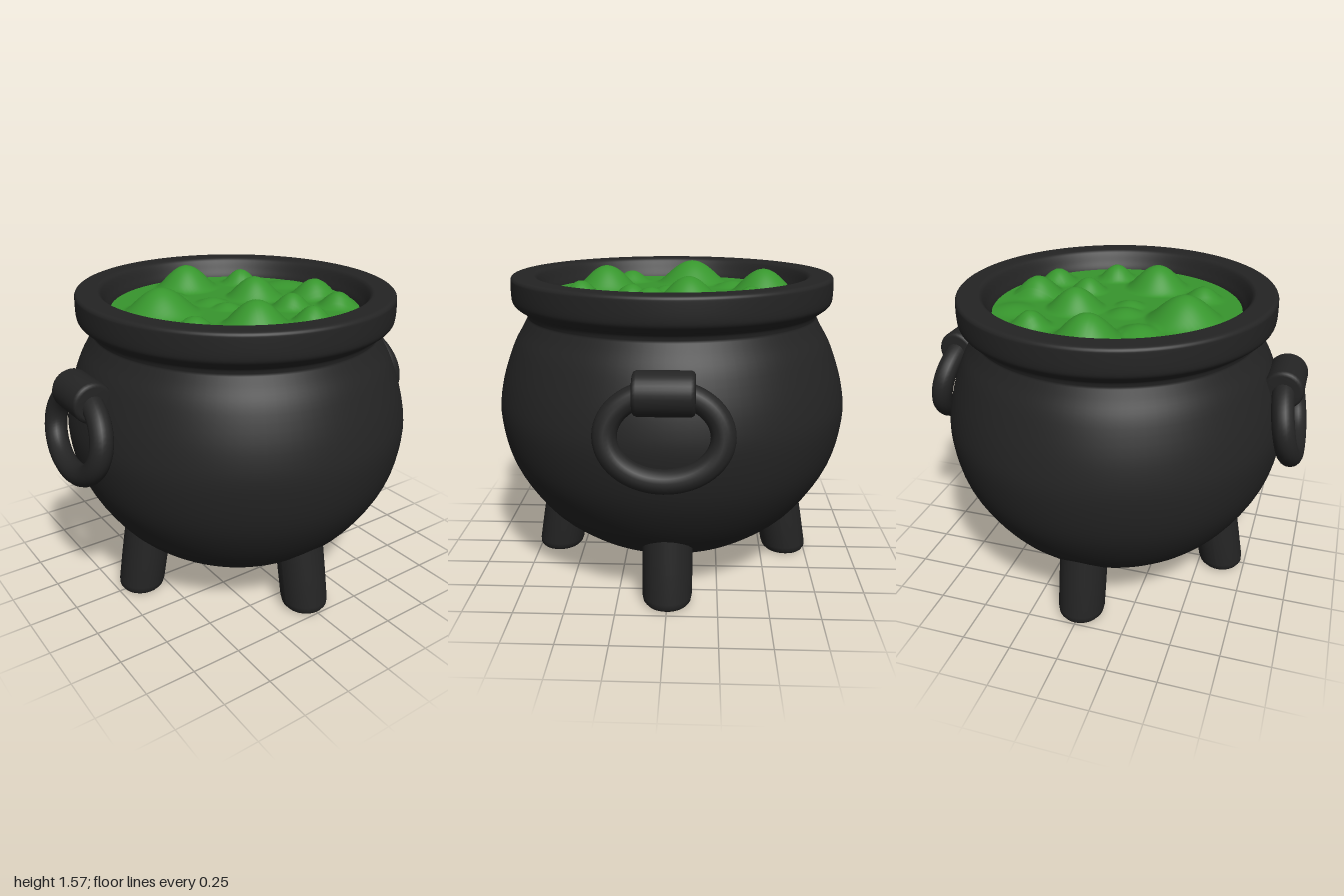
import * as THREE from 'three';

const iron = new THREE.MeshStandardMaterial({ color: 0x242424 });
iron.name = 'black iron';
const brew = new THREE.MeshStandardMaterial({ color: 0x37962d });
brew.name = 'green brew';

const SQUASH = 0.97; // the pot is slightly narrower across x than z
const v2 = ([x, y]) => new THREE.Vector2(x, y);

function part(name, geometry, material = iron) {
  const mesh = new THREE.Mesh(geometry, material);
  mesh.name = name;
  return mesh;
}

// Round belly, narrow neck, thick rim and the inner wall in one turned profile
function makePot() {
  const belly = new THREE.SplineCurve([
    [0.3, 0.157], [0.42, 0.175], [0.52, 0.215], [0.7, 0.365], [0.85, 0.6], [0.905, 0.84],
    [0.886, 1.02], [0.825, 1.2], [0.77, 1.3], [0.743, 1.35],
  ].map(v2)).getPoints(40);
  const rim = new THREE.SplineCurve([
    [0.743, 1.35], [0.752, 1.378], [0.785, 1.4], [0.812, 1.425], [0.82, 1.46], [0.82, 1.53],
    [0.817, 1.549], [0.805, 1.559], [0.78, 1.56], [0.715, 1.56], [0.695, 1.553], [0.682, 1.535],
    [0.665, 1.5], [0.645, 1.46], [0.63, 1.4],
  ].map(v2)).getPoints(56);
  const points = [[0, 0.155], [0.15, 0.155]].map(v2).concat(belly, rim.slice(1));
  const geometry = new THREE.LatheGeometry(points, 96);
  geometry.scale(SQUASH, 1, 1);
  return part('pot', geometry);
}

// Bubbles: x, z, radius, height
const BUBBLES = [
  [-0.37, -0.1, 0.165, 0.12], [0, -0.47, 0.145, 0.12], [-0.12, 0.35, 0.145, 0.12],
  [0.19, -0.09, 0.13, 0.105], [0.46, 0.08, 0.115, 0.09], [0.22, 0.19, 0.09, 0.07],
  [0.43, 0.3, 0.09, 0.07], [0.14, 0.45, 0.09, 0.075], [0.31, -0.39, 0.09, 0.075],
  [-0.39, 0.24, 0.09, 0.06], [-0.2, -0.32, 0.09, 0.03], [-0.07, -0.1, 0.08, 0.025],
  [-0.06, 0.02, 0.07, 0.025], [0.48, -0.2, 0.1, 0.02],
];

// Liquid surface: a disc raised into soft domes
function makeBrew() {
  const geometry = new THREE.RingGeometry(0.0005, 0.65, 128, 56);
  geometry.rotateX(-Math.PI / 2);
  geometry.scale(SQUASH, 1, 1);
  const p = geometry.attributes.position;
  for (let i = 0; i < p.count; i++) {
    let y = 0;
    for (const [x, z, r, h] of BUBBLES) {
      const t = Math.hypot(p.getX(i) - x, p.getZ(i) - z) / (r * 1.2);
      if (t < 1) y = Math.max(y, h * (1 - t * t) ** 1.5);
    }
    p.setY(i, 1.46 + y);
  }
  geometry.computeVertexNormals();
  return part('brew', geometry, brew);
}

// Foot with a rounded base, leaning in toward the belly
function makeLeg(angle) {
  const profile = [
    [0, 0.005], [0.085, 0.005], [0.105, 0.01], [0.118, 0.025], [0.123, 0.05],
    [0.125, 0.2], [0.125, 0.45],
  ].map(v2);
  const geometry = new THREE.LatheGeometry(profile, 32);
  const p = geometry.attributes.position;
  for (let i = 0; i < p.count; i++) p.setX(i, p.getX(i) + 0.64 - 0.18 * p.getY(i));
  geometry.computeVertexNormals();
  geometry.rotateY(angle);
  geometry.scale(SQUASH, 1, 1);
  return part('leg', geometry);
}

// Hanging ring: an oval path whose lower end swings outward
class RingPath extends THREE.Curve {
  getPoint(t, target = new THREE.Vector3()) {
    const a = t * Math.PI * 2;
    const s = Math.sin(a);
    return target.set(0.907 - 0.04 * s, 0.98 + 0.19 * s, 0.255 * Math.cos(a));
  }
}

function makeHandle(side) {
  const group = new THREE.Group();
  group.name = side > 0 ? 'leftHandle' : 'rightHandle';
  group.add(part('ring', new THREE.TubeGeometry(new RingPath(), 64, 0.055, 16, true)));

  // Rounded lug that grips the ring
  const lug = new THREE.LatheGeometry([
    [0, -0.135], [0.08, -0.135], [0.093, -0.13], [0.1, -0.115],
    [0.1, 0.115], [0.093, 0.13], [0.08, 0.135], [0, 0.135],
  ].map(v2), 32);
  lug.rotateX(Math.PI / 2);
  lug.translate(0.868, 1.16, 0);
  group.add(part('lug', lug));

  // Short block joining the lug to the belly
  const root = new THREE.BoxGeometry(0.14, 0.15, 0.25);
  root.rotateZ(0.35);
  root.translate(0.8, 1.135, 0);
  group.add(part('lugRoot', root));

  if (side < 0) group.rotation.y = Math.PI;
  return group;
}

export function createModel() {
  const model = new THREE.Group();
  model.name = 'cauldron';
  model.add(makePot(), makeBrew());
  for (let i = 0; i < 4; i++) model.add(makeLeg(i * Math.PI / 2));
  for (const side of [1, -1]) model.add(makeHandle(side));
  return model;
}
